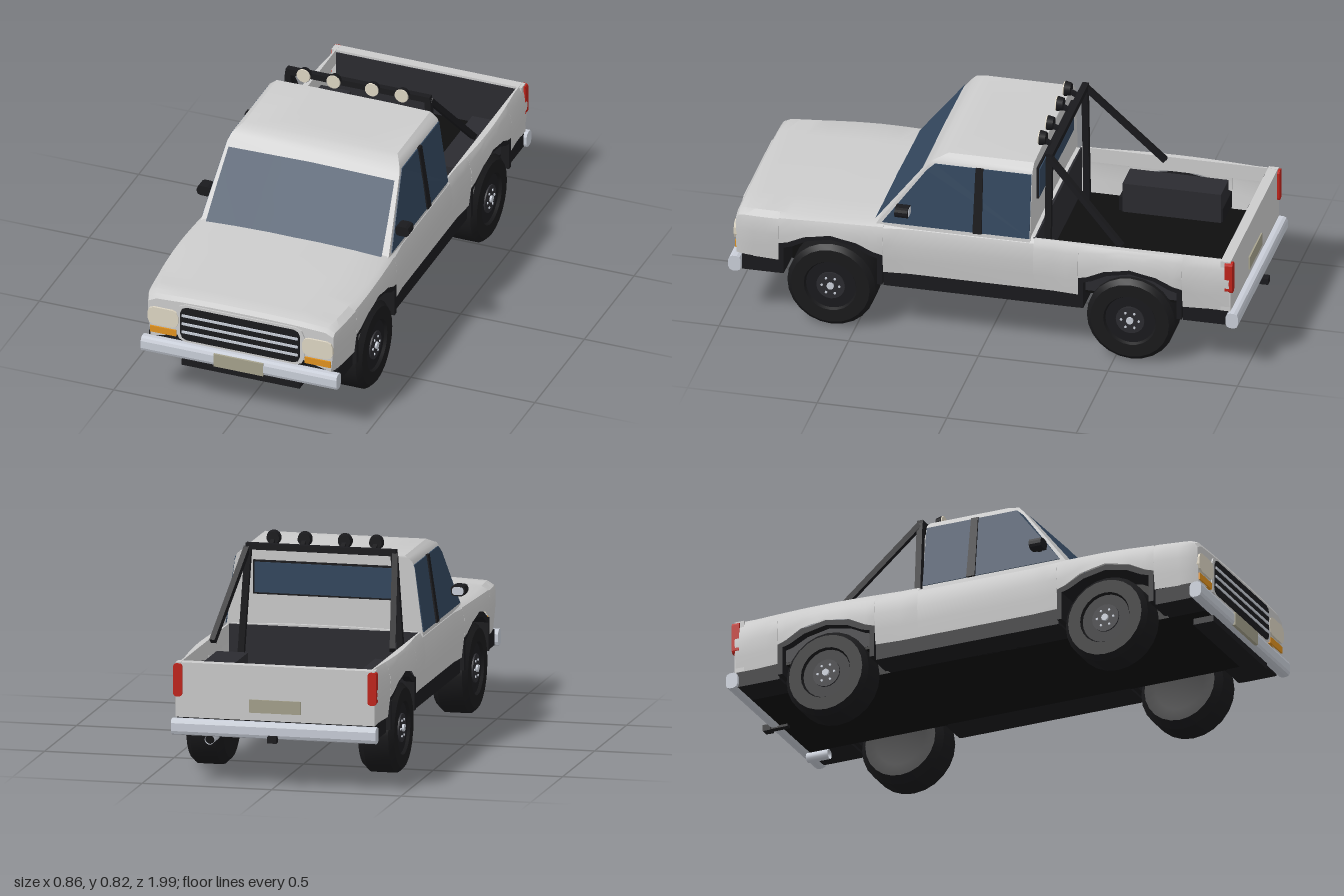
import * as THREE from 'three';
import { toCreasedNormals } from 'three/addons/utils/BufferGeometryUtils.js';

const mat = (color) => new THREE.MeshStandardMaterial({ color, side: THREE.DoubleSide });
const M = {
  paint: mat(0xcccccc), black: mat(0x1a1a1d), under: mat(0x0e0e0f), liner: mat(0x2b2b30),
  tyre: mat(0x19191b), glass: mat(0x33475e), chrome: mat(0xc9ced8), lamp: mat(0xddd5c3),
  amber: mat(0xe0921f), red: mat(0xc0231a), plate: mat(0xa5a18c),
};
const WHEEL_Z = [0.595, -0.56], WHEEL_Y = 0.17;

// Linear interpolation through [input, output] pairs sorted by input
function lerpTable(t, table) {
  for (let i = 1; i < table.length; i++) {
    const [a, va] = table[i - 1], [b, vb] = table[i];
    if (t <= b) return va + (vb - va) * Math.max(0, (t - a) / (b - a));
  }
  return table[table.length - 1][1];
}

// Skin through rows of [x, y, z] points
function loft(rows, crease = 0.5) {
  const n = rows[0].length, idx = [];
  for (let j = 0; j < rows.length - 1; j++) for (let i = 0; i < n - 1; i++) {
    const a = j * n + i, b = a + 1, c = a + n, d = c + 1;
    idx.push(a, b, c, b, d, c);
  }
  const g = new THREE.BufferGeometry();
  g.setAttribute('position', new THREE.Float32BufferAttribute(rows.flat(2), 3));
  g.setIndex(idx);
  return toCreasedNormals(g, crease);
}

const shapeOf = (pts) => new THREE.Shape(pts.map(([x, y]) => new THREE.Vector2(x, y)));

// Rectangle with cut corners, extruded forward
function plate(w, h, cut, depth) {
  const a = w / 2, b = h / 2, c = cut, k = cut * 0.3;
  const corner = [[a, b - c], [a - k, b - k], [a - c, b]];
  const pts = [...corner, ...corner.map(([x, y]) => [-x, y]).reverse(),
    ...corner.map(([x, y]) => [-x, -y]), ...corner.map(([x, y]) => [x, -y]).reverse()];
  return new THREE.ExtrudeGeometry(shapeOf(pts), { depth, bevelEnabled: false });
}

// Panel outlined in (z, y) on side s, pushed outward to x = offset(y)
function sidePanel(s, pts, depth, offset) {
  const g = new THREE.ExtrudeGeometry(shapeOf(pts.map(([z, y]) => [-s * z, y])), { depth, bevelEnabled: false });
  const p = g.attributes.position;
  for (let i = 0; i < p.count; i++) {
    p.setXYZ(i, s * (p.getZ(i) + offset(p.getY(i))), p.getY(i), -s * p.getX(i));
  }
  g.computeVertexNormals();
  return g;
}

// Body rules: wheel opening height, plan width, shoulder line
const ARCH = [[-0.2, 0.325], [-0.165, 0.335], [-0.1, 0.368], [0, 0.388], [0.1, 0.368], [0.165, 0.335], [0.2, 0.325]];
const bottomY = (z) => {
  const w = WHEEL_Z.find((c) => Math.abs(z - c) < 0.2005);
  return w === undefined ? 0.25 : lerpTable(z - w, ARCH);
};
const halfWidth = (z) => 0.394 + 0.016 * Math.max(...WHEEL_Z.map((c) => Math.max(0, Math.cos((z - c) * 5.2) * (Math.abs(z - c) < 0.302))))
  - 0.02 * Math.max(0, (z - 0.92) / 0.05);
const topY = (z) => lerpTable(z, [[-0.95, 0.46], [0.3, 0.457], [0.6, 0.45], [0.93, 0.439], [0.955, 0.432], [0.966, 0.415]]);
const SIDE = [[0.25, -0.012], [0.33, -0.003], [0.375, 0], [0.41, -0.003], [0.435, -0.01], [0.46, -0.02]];

function bodySection(z, open) {
  const yb = bottomY(z), yt = topY(z), w = halfWidth(z);
  const half = [0, 0.3, 0.6, 0.85, 0.95].map((t) => {
    const y = yb + t * (yt - yb - 0.008);
    return [w + lerpTable(y, SIDE), y, z];
  });
  if (open) half.push([w - 0.022, yt, z], [0.365, yt, z], [0.365, 0.4, z]);
  else half.push([w - 0.035, yt, z], [0.24, yt + 0.005, z], [0.1, yt + 0.008, z]);
  return half;
}
const mirrorRow = (row) => row.map(([x, y, z]) => [-x, y, z]).reverse();
function stations(from, to) {
  const zs = [from, to];
  for (const c of WHEEL_Z) for (const o of [-0.3, -0.25, -0.201, -0.2, -0.165, -0.1, -0.05, 0, 0.05, 0.1, 0.165, 0.2, 0.201, 0.25, 0.3]) zs.push(c + o);
  zs.push(0.93, 0.955);
  return zs.filter((z) => z >= from && z <= to).sort((a, b) => a - b);
}

// Cab rules
const cabX = (y) => lerpTable(y, [[0.45, 0.38], [0.7, 0.347], [0.725, 0.338], [0.747, 0.31]]);
const cabFront = (y) => lerpTable(y, [[0.45, 0.43], [0.7, 0.235], [0.725, 0.212], [0.747, 0.16]]);

export function createModel() {
  const model = new THREE.Group();
  const add = (name, geo, material, x = 0, y = 0, z = 0, parent = model) => {
    const m = new THREE.Mesh(geo, material);
    m.name = name;
    m.position.set(x, y, z);
    parent.add(m);
    return m;
  };
  const box = (name, material, [x0, x1], [y0, y1], [z0, z1]) =>
    add(name, new THREE.BoxGeometry(x1 - x0, y1 - y0, z1 - z0), material, (x0 + x1) / 2, (y0 + y1) / 2, (z0 + z1) / 2);
  const bar = (name, a, b, t) => {
    const A = new THREE.Vector3(...a), B = new THREE.Vector3(...b);
    const m = add(name, new THREE.BoxGeometry(t, t, A.distanceTo(B)), M.black, ...A.clone().lerp(B, 0.5).toArray());
    m.lookAt(B);
  };

  // Front body with hood, closed at the nose
  const nose = stations(-0.185, 0.966).map((z) => {
    const h = bodySection(z, false);
    return [...h, ...mirrorRow(h)];
  });
  nose.push(nose[0].map(() => [0, 0.34, 0.966]));
  add('frontBody', loft(nose), M.paint);

  // Load bed: outer sides with rails, dark lining, tailgate
  const bed = stations(-0.94, -0.185).map((z) => bodySection(z, true));
  add('bedSideLeft', loft(bed), M.paint);
  add('bedSideRight', loft(bed.map(mirrorRow)), M.paint);
  box('bedFloor', M.under, [-0.365, 0.365], [0.25, 0.27], [-0.92, -0.185]);
  box('bedFrontWall', M.liner, [-0.365, 0.365], [0.25, 0.457], [-0.19, -0.18]);
  box('tailgate', M.paint, [-0.384, 0.384], [0.25, 0.459], [-0.944, -0.906]);
  box('tailgateLining', M.liner, [-0.364, 0.364], [0.26, 0.45], [-0.907, -0.902]);

  // Cab shell
  const ring = (y, x, zf, zb) => [[x, y, zf], [x, y, zb], [-x, y, zb], [-x, y, zf], [x, y, zf]];
  const cabRows = [0.44, 0.7, 0.725, 0.738, 0.747].map((y) => ring(y, cabX(y), cabFront(y), -0.17));
  cabRows.push(ring(0.751, 0.15, 0.1, -0.168), ring(0.751, 0, 0, -0.168));
  add('cab', loft(cabRows, 0.6), M.paint);

  // Windscreen and rear window
  const screenRow = (y, x) => [x, x * 0.5, 0, -x * 0.5, -x].map((v, i) =>
    [v, y + 0.006 * (1 - Math.abs(i - 2) / 2), cabFront(y) + 0.007]).reverse();
  add('windscreen', loft([screenRow(0.452, 0.355), screenRow(0.57, 0.346), screenRow(0.685, 0.335)]), M.glass);
  box('rearWindowFrame', M.black, [-0.275, 0.275], [0.575, 0.705], [-0.178, -0.168]);
  box('rearWindow', M.glass, [-0.268, 0.268], [0.582, 0.698], [-0.182, -0.17]);

  // Chassis and underside
  box('underbody', M.under, [-0.256, 0.256], [0.19, 0.255], [-0.935, 0.94]);
  box('engineBay', M.under, [-0.256, 0.256], [0.19, 0.4], [0.38, 0.82]);
  for (const s of [1, -1]) {
    const span = (a, b) => (s > 0 ? [a, b] : [-b, -a]);
    for (const zr of [[-0.935, -0.76], [-0.36, 0.395], [0.795, 0.94]]) box('sill', M.black, span(0.25, 0.382), [0.19, 0.252], zr);
    box('bedWheelBox', M.liner, span(0.245, 0.366), [0.26, 0.39], [-0.755, -0.375]);

    // Side glass, door pillar, mirror
    add('sideGlass', sidePanel(s, [[0.4, 0.458], [0.235, 0.685], [0.205, 0.712], [-0.168, 0.712], [-0.168, 0.458]], 0.004, cabX), M.glass);
    add('doorPillar', sidePanel(s, [[0.05, 0.457], [0.047, 0.714], [0.018, 0.714], [0.015, 0.457]], 0.01, cabX), M.black);
    add('mirror', plate(0.056, 0.04, 0.014, 0.05), M.black, s * 0.4, 0.525, 0.292);
    add('mirrorGlass', plate(0.044, 0.03, 0.01, 0.002), M.chrome, s * 0.4, 0.525, 0.289);
    bar('mirrorArm', [s * 0.36, 0.51, 0.315], [s * 0.395, 0.522, 0.315], 0.018);

    // Wheel arch linings and wheels
    for (const wz of WHEEL_Z) {
      const outer = [[-0.2, 0.2], ...ARCH, [0.2, 0.2]];
      const inner = outer.map(([z, y]) => [z * 0.9, Math.max(0.2, 0.17 + (y - 0.17) * 0.9)]).reverse();
      add('wheelArch', sidePanel(s, [...outer, ...inner].map(([z, y]) => [z + wz, y]), 0.145, () => 0.254), M.black);
      const wheel = new THREE.Group();
      wheel.name = 'wheel';
      wheel.position.set(s * 0.331, WHEEL_Y, wz);
      wheel.rotation.y = s > 0 ? 0 : Math.PI;
      model.add(wheel);
      const profile = [[0.001, -0.06], [0.1, -0.071], [0.145, -0.071], [0.17, -0.045], [0.17, 0.052], [0.152, 0.071], [0.102, 0.071], [0.095, 0.058]];
      const tyre = new THREE.LatheGeometry(profile.map(([r, h]) => new THREE.Vector2(r, h)), 24);
      add('tyre', toCreasedNormals(tyre.rotateZ(-Math.PI / 2), 0.4), M.tyre, 0, 0, 0, wheel);
      const disc = (name, r, x0, x1, m, y = 0, z = 0, seg = 20) =>
        add(name, new THREE.CylinderGeometry(r, r, x1 - x0, seg).rotateZ(-Math.PI / 2), m, (x0 + x1) / 2, y, z, wheel);
      disc('rim', 0.097, 0.04, 0.06, M.black);
      disc('rimCentre', 0.055, 0.06, 0.066, M.liner);
      disc('hub', 0.014, 0.06, 0.074, M.chrome, 0, 0, 10);
      for (let i = 0; i < 6; i++) {
        const a = (i * Math.PI) / 3;
        disc('wheelNut', 0.005, 0.062, 0.07, M.chrome, Math.sin(a) * 0.034, Math.cos(a) * 0.034, 6);
      }
    }

    // Lamps
    add('headlight', plate(0.124, 0.074, 0.024, 0.014), M.lamp, s * 0.312, 0.343, 0.96);
    box('indicator', M.amber, span(0.26, 0.365), [0.27, 0.296], [0.95, 0.972]);
    add('tailLight', plate(0.034, 0.125, 0.01, 0.03), M.red, s * 0.375, 0.392, -0.953);

    // Roll bar legs and braces
    bar('rollBarPost', [s * 0.315, 0.27, -0.222], [s * 0.281, 0.765, -0.222], 0.024);
    bar('rollBarBrace', [s * 0.285, 0.76, -0.225], [s * 0.347, 0.455, -0.515], 0.022);
  }

  // Roll bar top and spot lamps
  box('rollBarTop', M.black, [-0.29, 0.29], [0.755, 0.779], [-0.235, -0.21]);
  for (const x of [-0.2, -0.079, 0.076, 0.196]) {
    const round = (r1, r2, d) => new THREE.CylinderGeometry(r1, r2, d, 14).rotateX(Math.PI / 2);
    add('spotLamp', round(0.029, 0.024, 0.024), M.black, x, 0.793, -0.177);
    add('spotLampLens', round(0.027, 0.028, 0.004), M.lamp, x, 0.793, -0.163);
    bar('spotLampBracket', [x, 0.785, -0.18], [x, 0.768, -0.215], 0.016);
  }

  // Grille
  add('grilleSurround', plate(0.515, 0.16, 0.035, 0.01), M.paint, 0, 0.335, 0.962);
  add('grille', plate(0.482, 0.14, 0.025, 0.008), M.black, 0, 0.335, 0.967);
  for (const y of [0.37, 0.335, 0.3]) box('grilleBar', M.chrome, [-0.234, 0.234], [y - 0.005, y + 0.005], [0.972, 0.979]);

  // Bumpers, number plates, skid bar, exhaust, tow hitch
  for (const [name, z] of [['frontBumper', 0.966], ['rearBumper', -0.952]]) {
    add(name, plate(0.048, 0.062, 0.016, 0.79).rotateY(Math.PI / 2), M.chrome, -0.395, 0.216, z);
  }
  box('frontPlate', M.plate, [-0.1, 0.1], [0.188, 0.241], [0.98, 0.994]);
  box('rearPlate', M.plate, [-0.1, 0.1], [0.28, 0.33], [-0.95, -0.94]);
  box('skidBar', M.black, [-0.238, 0.238], [0.15, 0.175], [0.885, 0.968]);
  box('skidBarMount', M.black, [-0.018, 0.018], [0.17, 0.2], [0.9, 0.95]);
  add('exhaust', new THREE.CylinderGeometry(0.019, 0.019, 0.09, 12, 1, true).rotateX(Math.PI / 2), M.chrome, 0.255, 0.167, -0.895);
  add('exhaustInside', new THREE.CircleGeometry(0.018, 12).rotateY(Math.PI), M.under, 0.255, 0.167, -0.93);
  box('towHitch', M.black, [-0.012, 0.012], [0.18, 0.197], [-0.99, -0.9]);
  box('towBall', M.black, [-0.017, 0.017], [0.176, 0.201], [-1, -0.968]);
  return model;
}
